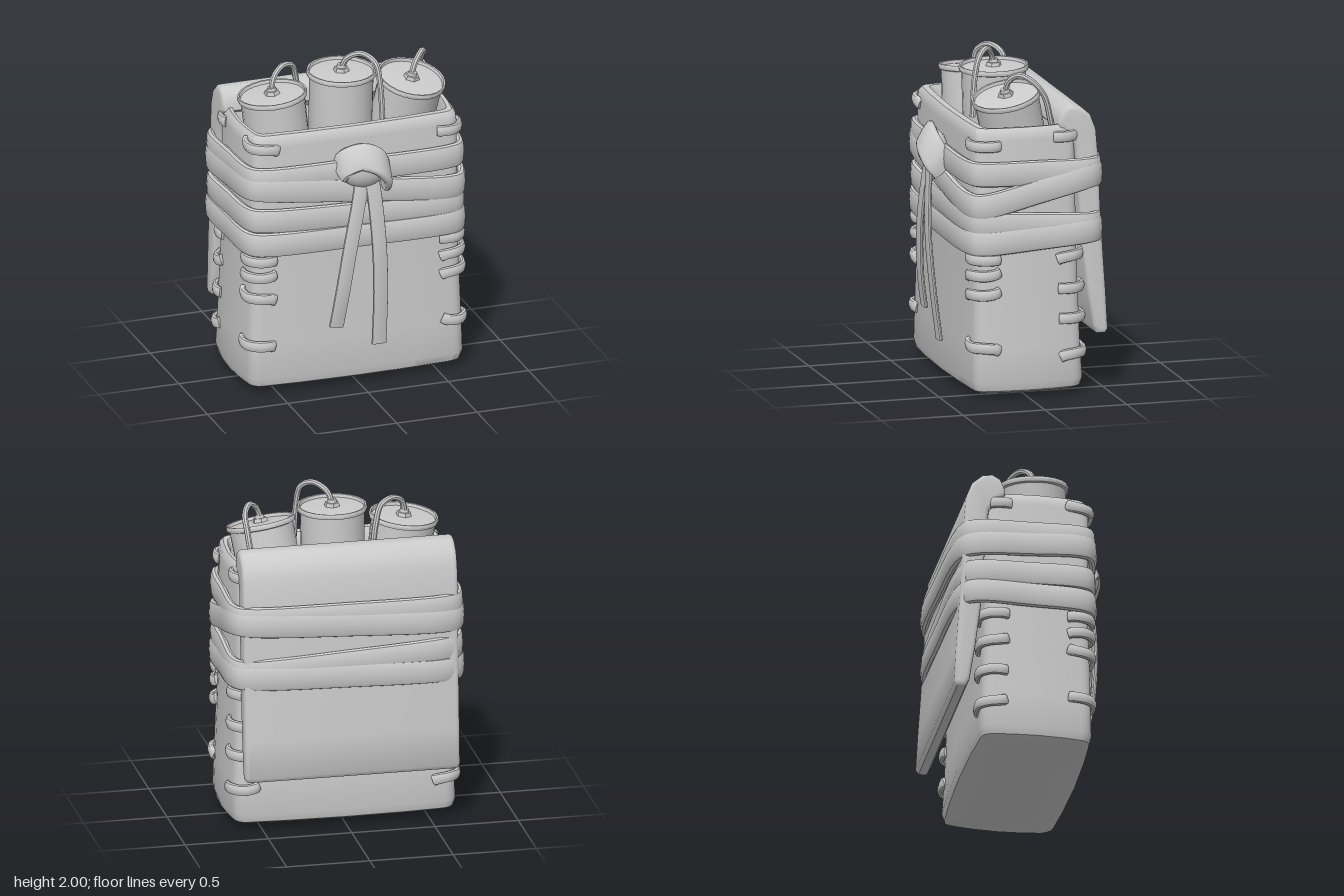
import * as THREE from 'three';
import { toCreasedNormals } from 'three/addons/utils/BufferGeometryUtils.js';

const V = (x, y, z) => new THREE.Vector3(x, y, z);
const material = new THREE.MeshStandardMaterial({ color: 0xcccccc, side: THREE.DoubleSide });

function mesh(name, geometry, crease = 0.75) {
  const m = new THREE.Mesh(toCreasedNormals(geometry, crease), material);
  m.name = name;
  return m;
}

const centre = ring => ring.reduce((s, p) => s.add(p), V(0, 0, 0)).divideScalar(ring.length);

// Skin over a row of equal-sized rings, either closed into a loop or capped with fans
function loft(rings, closed = false, startCentre = centre(rings[0])) {
  const n = rings[0].length, m = rings.length, index = [];
  const points = [...rings.flat(), startCentre, centre(rings[m - 1])];
  for (let j = 0; j < (closed ? m : m - 1); j++) {
    const a = j * n, b = ((j + 1) % m) * n;
    for (let i = 0; i < n; i++) {
      const k = (i + 1) % n;
      index.push(a + i, a + k, b + k, a + i, b + k, b + i);
    }
  }
  if (!closed) {
    const last = (m - 1) * n;
    for (let i = 0; i < n; i++) {
      const k = (i + 1) % n;
      index.push(m * n, k, i, m * n + 1, last + i, last + k);
    }
  }
  const g = new THREE.BufferGeometry().setFromPoints(points);
  g.setIndex(index);
  return g;
}

// Flat strap with rounded edges and a slight crown, swept along a smooth path
function strap(controls, widthDir, w, t, steps, closed = false) {
  const curve = new THREE.CatmullRomCurve3(controls, closed, 'centripetal');
  const section = [];
  for (const side of [1, -1]) {
    for (let k = 0; k <= 4; k++) {
      const a = (k / 4 - 0.5) * Math.PI;
      section.push([side * (w / 2 - t / 2 + Math.cos(a) * t / 2), side * Math.sin(a) * t / 2]);
    }
    section.push([0, side * t * 0.58]);
  }
  const rings = [];
  for (let j = 0; j < (closed ? steps : steps + 1); j++) {
    const p = curve.getPoint(j / steps), T = curve.getTangent(j / steps);
    const W = widthDir.clone().addScaledVector(T, -widthDir.dot(T)).normalize();
    const N = T.clone().cross(W);
    rings.push(section.map(([u, v]) => p.clone().addScaledVector(W, u).addScaledVector(N, v)));
  }
  return loft(rings, closed);
}

// Horizontal rounded rectangle whose sides bow out to the given extents
function bowedRing(y, hx, zf, zb, r, bow = 0.022) {
  const ring = [], ex = hx - bow, ef = zf - bow, eb = zb + bow;
  const out = [[0, -1], [-1, 0], [0, 1], [1, 0]];
  const corners = [[ex - r, eb + r], [r - ex, eb + r], [r - ex, ef - r], [ex - r, ef - r]];
  corners.forEach(([cx, cz], q) => {
    for (let k = 0; k <= 4; k++) {
      const a = (q + k / 4) * Math.PI / 2;
      ring.push(V(cx + r * Math.cos(a), y, cz - r * Math.sin(a)));
    }
    const [nx, nz] = corners[(q + 1) % 4], [ox, oz] = out[q];
    for (const t of [0.2, 0.5, 0.8]) {
      const d = r + 4 * t * (1 - t) * bow;
      ring.push(V(cx + (nx - cx) * t + ox * d, y, cz + (nz - cz) * t + oz * d));
    }
  });
  return ring;
}

// Canister with a rimmed lid, a hex nut and a bent fuse
function canister(position, normal, fusePath) {
  const group = new THREE.Group();
  group.name = 'canister';
  const can = new THREE.Group();
  can.name = 'can';
  can.position.copy(position);
  can.quaternion.setFromUnitVectors(V(0, 1, 0), normal.normalize());
  const profile = [[0, -0.45], [0.186, -0.45], [0.19, -0.03], [0.204, -0.025], [0.208, -0.008],
    [0.203, 0.006], [0.193, 0.004], [0.188, -0.014], [0, 0]];
  can.add(mesh('canBody', new THREE.LatheGeometry(profile.map(p => new THREE.Vector2(...p)), 24), 0.6));
  const nut = mesh('nut', new THREE.CylinderGeometry(0.042, 0.048, 0.022, 6), 0.5);
  nut.position.y = 0.008;
  const collar = mesh('collar', new THREE.CylinderGeometry(0.026, 0.03, 0.024, 10));
  collar.position.y = 0.026;
  can.add(nut, collar);
  const curve = new THREE.CatmullRomCurve3(fusePath.map(p => V(...p)));
  group.add(can, mesh('fuse', new THREE.TubeGeometry(curve, 32, 0.018, 8)));
  return group;
}

export function createModel() {
  const model = new THREE.Group();
  model.name = 'pouch';

  // Open pouch: outside wall, rim, inside wall and floor; the base sags to one side
  const rings = [
    [0.035, 0.65, 0.315, -0.325, 0.06], [0.05, 0.678, 0.338, -0.352, 0.07], [0.1, 0.692, 0.35, -0.365, 0.07],
    [0.3, 0.686, 0.346, -0.352, 0.07], [0.85, 0.666, 0.335, -0.335, 0.07], [1.55, 0.66, 0.335, -0.325, 0.07],
    [1.6, 0.655, 0.33, -0.32, 0.07], [1.622, 0.635, 0.312, -0.305, 0.06], [1.62, 0.615, 0.27, -0.28, 0.05],
    [1.58, 0.602, 0.245, -0.262, 0.05], [1.2, 0.59, 0.235, -0.25, 0.05],
  ].map(r => bowedRing(...r));
  model.add(mesh('pouchBody', loft(rings, false, V(0.4, 0, 0))));

  // Thick flap rolled over the back wall and hanging down behind: side outline as [z, y]
  const outline = [[-0.193, 1.6], [-0.197, 1.65], [-0.222, 1.705], [-0.27, 1.732], [-0.33, 1.722], [-0.39, 1.67],
    [-0.425, 1.58], [-0.44, 1.4], [-0.452, 1.1], [-0.468, 0.85], [-0.485, 0.6], [-0.498, 0.375], [-0.48, 0.348],
    [-0.43, 0.35], [-0.405, 0.4], [-0.37, 0.62], [-0.335, 0.9], [-0.31, 1.3], [-0.29, 1.5], [-0.24, 1.57]];
  const flapShape = new THREE.Shape(outline.map(p => new THREE.Vector2(...p)));
  const flapGeometry = new THREE.ExtrudeGeometry(flapShape, {
    depth: 1.24, bevelSize: 0.025, bevelThickness: 0.025, bevelOffset: -0.025, bevelSegments: 3,
  });
  flapGeometry.rotateY(-Math.PI / 2).translate(0.61, 0, 0);
  model.add(mesh('backFlap', flapGeometry));

  // Wrapped bands; centre heights at front left, front right, back right, back left as seen from the front
  const bands = [
    [1.36, 1.355, 1.35, 1.345, 0], [1.3, 1.165, 1.315, 1.26, 0.008],
    [1.1, 1.055, 1.02, 1.085, 0], [0.95, 0.94, 0.985, 0.955, 0.008],
  ];
  for (const [a, b, c, d, o] of bands) {
    const path = [
      V(-0.6, a, 0.322 + o), V(0, (a + b) / 2, 0.347 + o), V(0.6, b, 0.322 + o), V(0.652 + o, b, 0.27),
      V(0.674 + o, (b + c) / 2, -0.05), V(0.668 + o, c, -0.37), V(0.61, c, -0.43 - o), V(0, (c + d) / 2, -0.46 - o),
      V(-0.61, d, -0.43 - o), V(-0.668 - o, d, -0.37), V(-0.674 - o, (a + d) / 2, -0.05), V(-0.652 - o, a, 0.27),
    ];
    model.add(mesh('wrapBand', strap(path, V(0, 1, 0), 0.15, 0.048, 72, true)));
  }

  // Knot: a core with a fold wrapped over it
  const core = mesh('knotCore', new THREE.SphereGeometry(1, 20, 14));
  core.scale.set(0.145, 0.12, 0.085);
  core.position.set(0.01, 1.385, 0.395);
  model.add(core);
  const fold = [V(-0.13, 1.37, 0.36), V(-0.1, 1.43, 0.4), V(-0.01, 1.468, 0.432), V(0.085, 1.43, 0.44),
    V(0.145, 1.35, 0.41), V(0.15, 1.28, 0.36)];
  model.add(mesh('knotFold', strap(fold, V(0, 0.85, -0.5), 0.17, 0.05, 20)));

  // Loose tails hanging from the knot
  const tails = [
    [[0, 1.36, 0.41], [-0.03, 1.2, 0.43], [-0.09, 0.9, 0.442], [-0.135, 0.6, 0.425], [-0.16, 0.4, 0.395]],
    [[0.045, 1.36, 0.42], [0.065, 1.2, 0.435], [0.09, 0.9, 0.445], [0.105, 0.6, 0.425], [0.11, 0.255, 0.383]],
  ];
  for (const t of tails) {
    model.add(mesh('strapTail', strap(t.map(p => V(...p)), V(1, 0, 0), 0.092, 0.024, 24)));
  }

  // Stitches wrapped around the four upright corners: side, front or back, [height, tilt]
  const stitches = [
    [-1, 1, [[1.55, 0.02], [0.84, 0], [0.74, -0.01], [0.61, 0.02], [0.31, 0.01]]],
    [1, 1, [[1.52, 0], [0.84, 0], [0.745, 0.02], [0.63, 0.02], [0.315, -0.02]]],
    [1, -1, [[1.555, 0], [0.84, -0.02], [0.645, 0], [0.465, 0], [0.255, -0.02]]],
    [-1, -1, [[1.55, 0], [0.83, 0], [0.65, 0.02], [0.46, 0], [0.25, 0.02]]],
  ];
  for (const [sx, sz, list] of stitches) {
    for (const [y, tilt] of list) {
      const hx = 0.672 - 0.022 * y, hz = sz > 0 ? 0.327 - 0.008 * y : 0.342 - 0.026 * y;
      const path = [[hx - 0.14, 0], [hx - 0.12, 0.012], [hx - 0.045, 0.01]]
        .map(([x, d], i) => V(sx * x, y - tilt * (1 - i / 2), sz * (hz + d)));
      [[0.01, 0.045], [0.016, 0.12], [0.004, 0.14]]
        .forEach(([d, z], i) => path.push(V(sx * (hx + d), y + tilt * (i / 2), sz * (hz - z))));
      model.add(mesh('stitch', strap(path, V(0, 1, 0), 0.068, 0.034, 16)));
    }
  }

  // Three canisters, each leaning its own way
  model.add(
    canister(V(-0.425, 1.77, 0.015), V(-0.11, 1, -0.03), [[-0.43, 1.78, 0.015], [-0.41, 1.86, 0],
      [-0.34, 1.905, -0.05], [-0.26, 1.88, -0.1], [-0.225, 1.78, -0.13], [-0.2, 1.6, -0.145]]),
    canister(V(0.005, 1.86, 0.02), V(0.01, 1, 0.02), [[0.005, 1.87, 0.02], [0.03, 1.94, 0.045],
      [0.1, 1.982, 0.1], [0.165, 1.94, 0.16], [0.185, 1.82, 0.19], [0.195, 1.6, 0.205]]),
    canister(V(0.425, 1.775, 0.07), V(0.15, 1, 0.23), [[0.42, 1.78, 0.07], [0.45, 1.86, 0.06],
      [0.505, 1.905, 0.01], [0.545, 1.87, -0.06], [0.545, 1.78, -0.13], [0.525, 1.6, -0.18]]),
  );
  return model;
}
